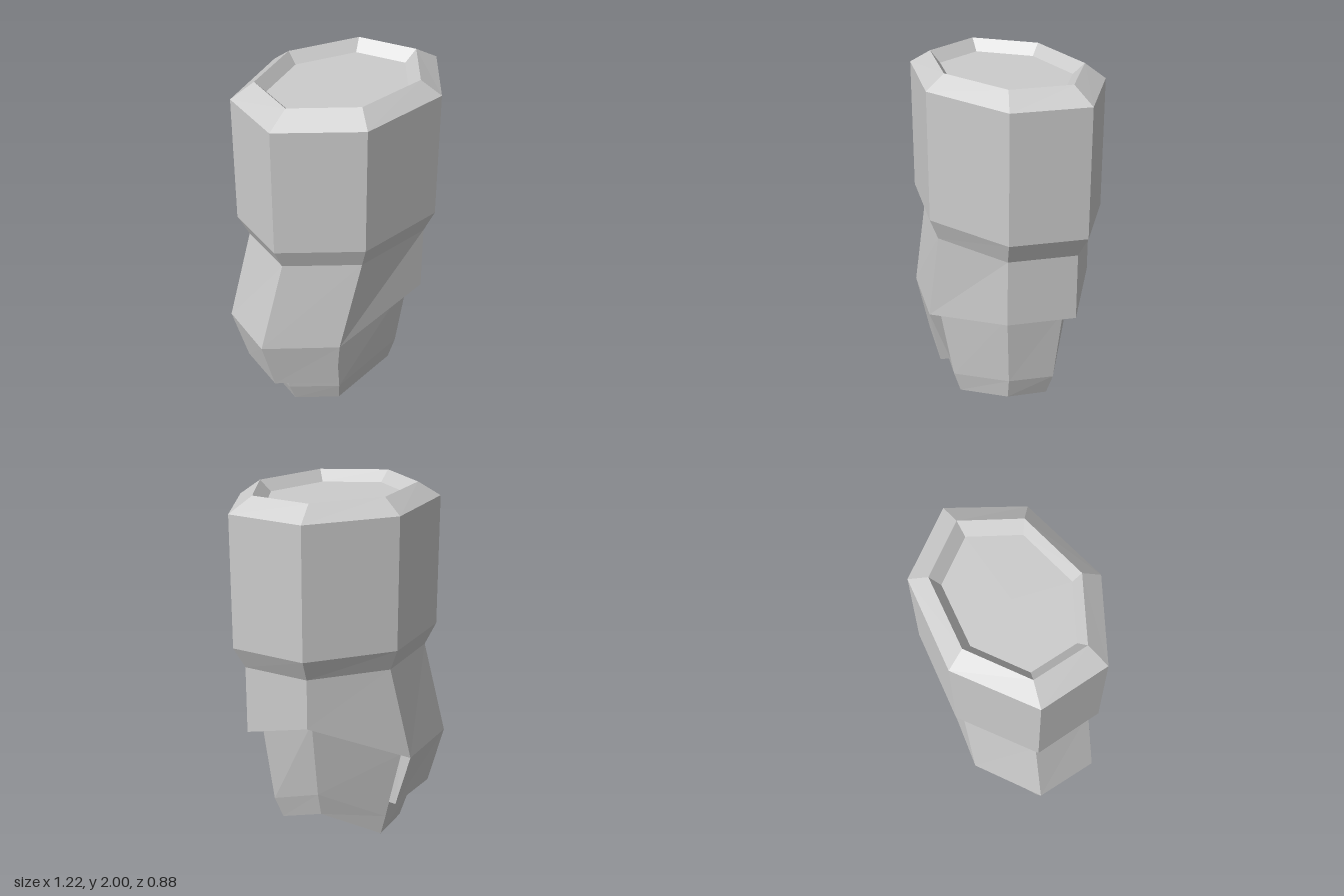
import * as THREE from 'three';

// Seven-sided outlines, listed as [x, z], clockwise seen from above
const SLEEVE = [[0.61, -0.145], [0.465, 0.245], [-0.01, 0.437], [-0.455, 0.285], [-0.54, -0.09], [-0.2, -0.42], [0.313, -0.44]];
const RIM = [[0.48, -0.12], [0.37, 0.19], [0, 0.337], [-0.35, 0.22], [-0.415, -0.08], [-0.15, -0.33], [0.25, -0.35]];
const CUFF_TOP = [[0.545, -0.13], [0.415, 0.22], [-0.01, 0.39], [-0.405, 0.255], [-0.48, -0.08], [-0.18, -0.375], [0.28, -0.39]];
const CUFF_LOW = [[0.545, -0.13], [0.415, 0.22], [-0.135, 0.39], [-0.54, 0.255], [-0.61, -0.09], [-0.305, -0.375], [0.28, -0.39]];
const LEG_TOP = [[0.455, -0.11], [0.35, 0.18], [-0.13, 0.325], [-0.46, 0.215], [-0.53, -0.075], [-0.27, -0.32], [0.24, -0.33]];
const LEG_MID = [[0.395, -0.095], [0.305, 0.14], [-0.09, 0.265], [-0.36, 0.17], [-0.405, -0.058], [-0.21, -0.25], [0.19, -0.265]];
const LEG_LOW = [[0.345, -0.085], [0.27, 0.125], [-0.08, 0.23], [-0.32, 0.148], [-0.365, -0.053], [-0.19, -0.23], [0.165, -0.238]];
const FLAP_LOW = [[-0.13, 0.33], [-0.46, 0.215], [-0.525, -0.075], [-0.25, -0.3]];

// Heights of the stepped edges, corner by corner
const CUFF_Y = [0.7, 0.7, 0.54, 0.54, 0.54, 0.54, 0.8];
const MID_Y = [0.25, 0.25, 0.12, 0.12, 0.12, 0.12, 0.33];
const LOW_Y = [0.12, 0.12, 0, 0, 0, 0, 0.19];

const ring = (outline, y, s = 1) =>
  outline.map(([x, z], i) => [x * s, Array.isArray(y) ? y[i] : y, z * s]);

const middle = (r) => {
  const c = [0, 1, 2].map((k) => r.reduce((sum, p) => sum + p[k], 0) / r.length);
  return r.map(() => c);
};

function addQuad(out, a, b, c, d) {
  for (const tri of [[a, b, c], [a, c, d]]) for (const p of tri) out.push(...p);
}

// Skin a stack of rings, outward faces when going down the outside
function loft(rings, closed = true) {
  const out = [];
  for (let k = 0; k + 1 < rings.length; k++) {
    const u = rings[k], l = rings[k + 1], n = u.length;
    for (let i = 0; i < (closed ? n : n - 1); i++) {
      const j = (i + 1) % n;
      addQuad(out, u[i], u[j], l[j], l[i]);
    }
  }
  return out;
}

export function createModel() {
  const model = new THREE.Group();
  const material = new THREE.MeshStandardMaterial({ color: 0xcccccc, flatShading: true });
  const add = (name, positions) => {
    const geometry = new THREE.BufferGeometry();
    geometry.setAttribute('position', new THREE.Float32BufferAttribute(positions, 3));
    geometry.computeVertexNormals();
    const mesh = new THREE.Mesh(geometry, material);
    mesh.name = name;
    model.add(mesh);
  };

  // Upper sleeve with bevelled rim and shallow recess
  const floor = ring(RIM, 1.94, 0.86);
  add('upperSleeve', loft([
    middle(floor), floor, ring(RIM, 2), ring(SLEEVE, 1.92), ring(SLEEVE, 1.2), ring(CUFF_TOP, 1.08),
  ]));

  // Slanting cuff with its underside lip
  const cuffLow = ring(CUFF_LOW, CUFF_Y), legTop = ring(LEG_TOP, CUFF_Y);
  add('cuff', loft([ring(CUFF_TOP, 1.08), cuffLow, legTop]));

  // Tapered lower leg, hollowed underneath
  const ceiling = ring(LEG_LOW, LOW_Y.map((y) => y + 0.25), 0.73);
  add('lowerLeg', loft([
    legTop, ring(LEG_MID, MID_Y), ring(LEG_LOW, LOW_Y), ceiling, middle(ceiling),
  ]));

  // Guard flap wrapping the right side, with thickness and end faces
  const outTop = cuffLow.slice(2, 6), inTop = legTop.slice(2, 6);
  const outLow = ring(FLAP_LOW, 0.22), inLow = ring(FLAP_LOW, 0.22, 0.84);
  const flap = loft([outTop, outLow, inLow, inTop], false);
  addQuad(flap, outTop[0], outLow[0], inLow[0], inTop[0]);
  addQuad(flap, inTop[3], inLow[3], outLow[3], outTop[3]);
  add('guardFlap', flap);

  return model;
}
